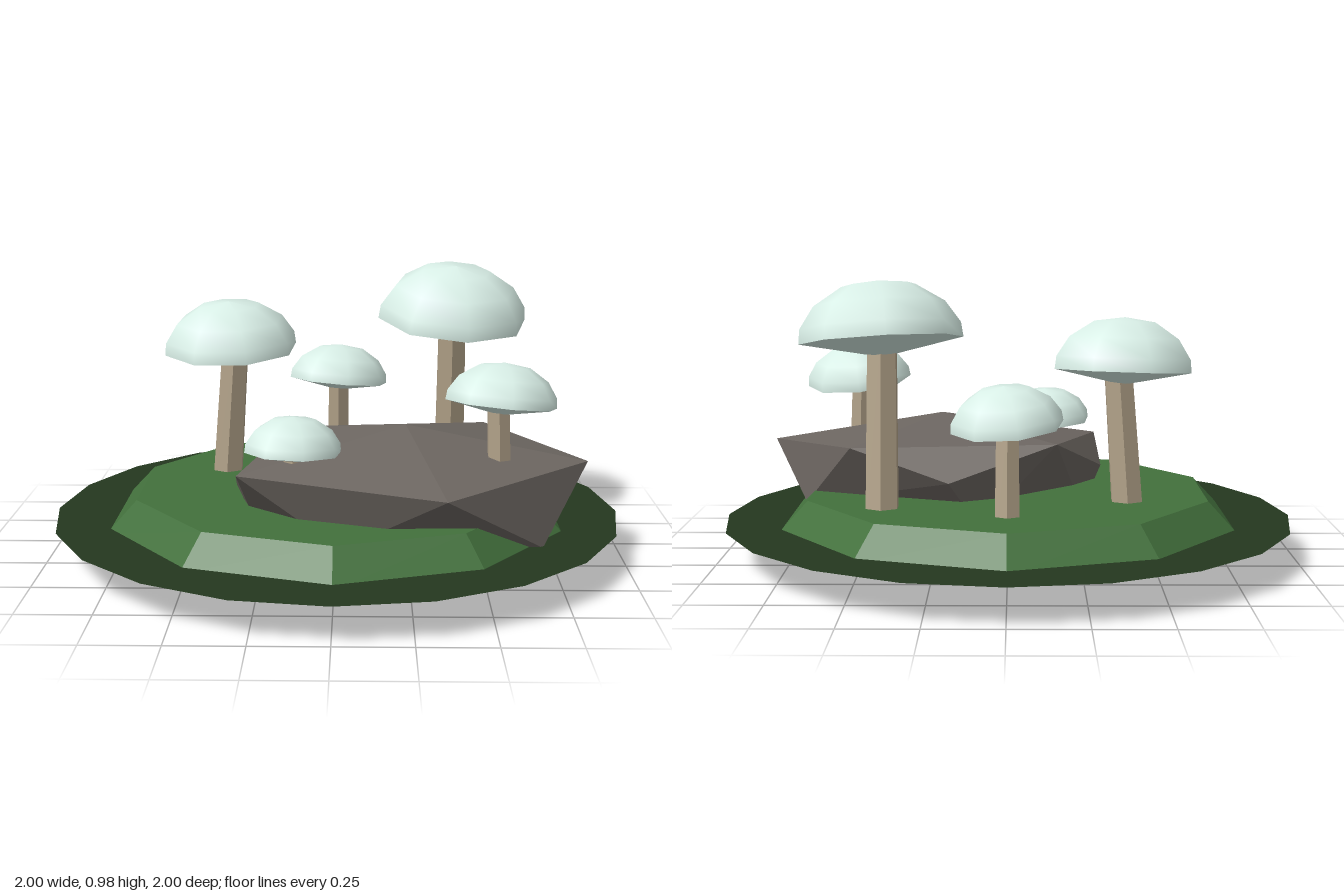
import * as THREE from 'three';
import { ConvexGeometry } from 'three/addons/geometries/ConvexGeometry.js';

const V = (p) => new THREE.Vector3(...p);
const flat = (color) => new THREE.MeshStandardMaterial({ color, flatShading: true });

function part(name, geometry, material, parent) {
  const mesh = new THREE.Mesh(geometry, material);
  mesh.name = name;
  parent.add(mesh);
  return mesh;
}

// Outline of the cap for a rim radius of 1
const dome = [[1, 0], [0.98, 0.18], [0.8, 0.45], [0.45, 0.67], [0, 0.73]];
const gills = [[0, -0.2], [1, 0]];
const profile = (pts, r) => pts.map(([x, y]) => new THREE.Vector2(x * r, y * r));

// Stem from base to top, capRadius, tilt about x and z, turn about y
const mushrooms = [
  { name: 'tallMushroom', base: [0.42, 0.105, -0.34], top: [0.42, 0.77, -0.26], stem: 0.062, r: 0.275, rim: 0.775, tilt: [0.15, -0.06], turn: 0.15 },
  { name: 'rightMushroom', base: [-0.415, 0.105, -0.21], top: [-0.375, 0.66, -0.2], stem: 0.06, r: 0.245, rim: 0.67, tilt: [0.08, 0.03], turn: 0.3 },
  { name: 'backMushroom', base: [0, 0.105, -0.47], top: [0, 0.5, -0.43], stem: 0.048, r: 0.187, rim: 0.51, tilt: [-0.1, -0.08], turn: 0.2 },
  { name: 'leftMushroom', base: [0.56, 0.105, 0.28], top: [0.545, 0.57, 0.28], stem: 0.046, r: 0.19, rim: 0.575, tilt: [-0.12, -0.09], turn: 0.1 },
  { name: 'smallMushroom', base: [-0.14, 0.105, 0.34], top: [-0.14, 0.41, 0.33], stem: 0.04, r: 0.165, rim: 0.42, tilt: [-0.06, -0.03], turn: 0.25 },
];
const capCentres = [[0.42, -0.275], [-0.39, -0.22], [0, -0.445], [0.555, 0.275], [-0.14, 0.33]];

function makeMushroom(m, [cx, cz], mats) {
  const group = new THREE.Group();
  group.name = m.name;

  // Leaning six-sided stem
  const a = V(m.base), b = V(m.top);
  const dir = b.clone().sub(a);
  const stem = part('stem', new THREE.CylinderGeometry(m.stem * 0.88, m.stem, dir.length(), 6), mats.stem, group);
  stem.position.copy(a).add(b).multiplyScalar(0.5);
  stem.quaternion.setFromUnitVectors(new THREE.Vector3(0, 1, 0), dir.normalize());

  // Tilted cap: smooth dome over a faceted underside
  const cap = new THREE.Group();
  cap.name = 'cap';
  cap.position.set(cx, m.rim, cz);
  cap.rotation.set(m.tilt[0], m.turn, m.tilt[1], 'XZY');
  part('capTop', new THREE.LatheGeometry(profile(dome, m.r), 8), mats.cap, cap);
  part('capUnderside', new THREE.LatheGeometry(profile(gills, m.r), 8), mats.gill, cap);
  group.add(cap);
  return group;
}

export function createModel() {
  const model = new THREE.Group();
  model.name = 'mushroomPatch';

  // Thin dark disc around the mound
  const disc = part('groundDisc', new THREE.CircleGeometry(1, 20),
    new THREE.MeshStandardMaterial({ color: 0x24381f, side: THREE.DoubleSide }), model);
  disc.rotation.x = -Math.PI / 2;
  disc.position.y = 0.125;

  // Ten-sided grassy mound
  const mound = part('mound', new THREE.CylinderGeometry(0.72, 0.826, 0.11, 10), flat(0x42703c), model);
  mound.position.y = 0.165;

  // Angular boulder: peak, upper corners, lower corners, bottom tip
  const corners = [
    [0.24, 0.475, 0.15],
    [0.36, 0.34, 0.65], [0.86, 0.365, 0.22], [0.54, 0.4, -0.21], [-0.17, 0.4, -0.13], [-0.325, 0.36, 0.42],
    [0.69, 0.12, 0.42], [0.72, 0.17, 0], [0.2, 0.29, -0.28], [-0.34, 0.27, 0.2],
    [0.02, 0.12, 0.45], [-0.27, 0.11, 0.18], [0.1, 0.12, -0.18],
    [0.21, 0, 0.19],
  ];
  part('rock', new ConvexGeometry(corners.map(V)), flat(0x6c6661), model);

  const mats = {
    stem: flat(0xb3a38a),
    cap: new THREE.MeshStandardMaterial({ color: 0xd8eee6 }),
    gill: flat(0xd8eee6),
  };
  mushrooms.forEach((m, i) => model.add(makeMushroom(m, capCentres[i], mats)));
  return model;
}
